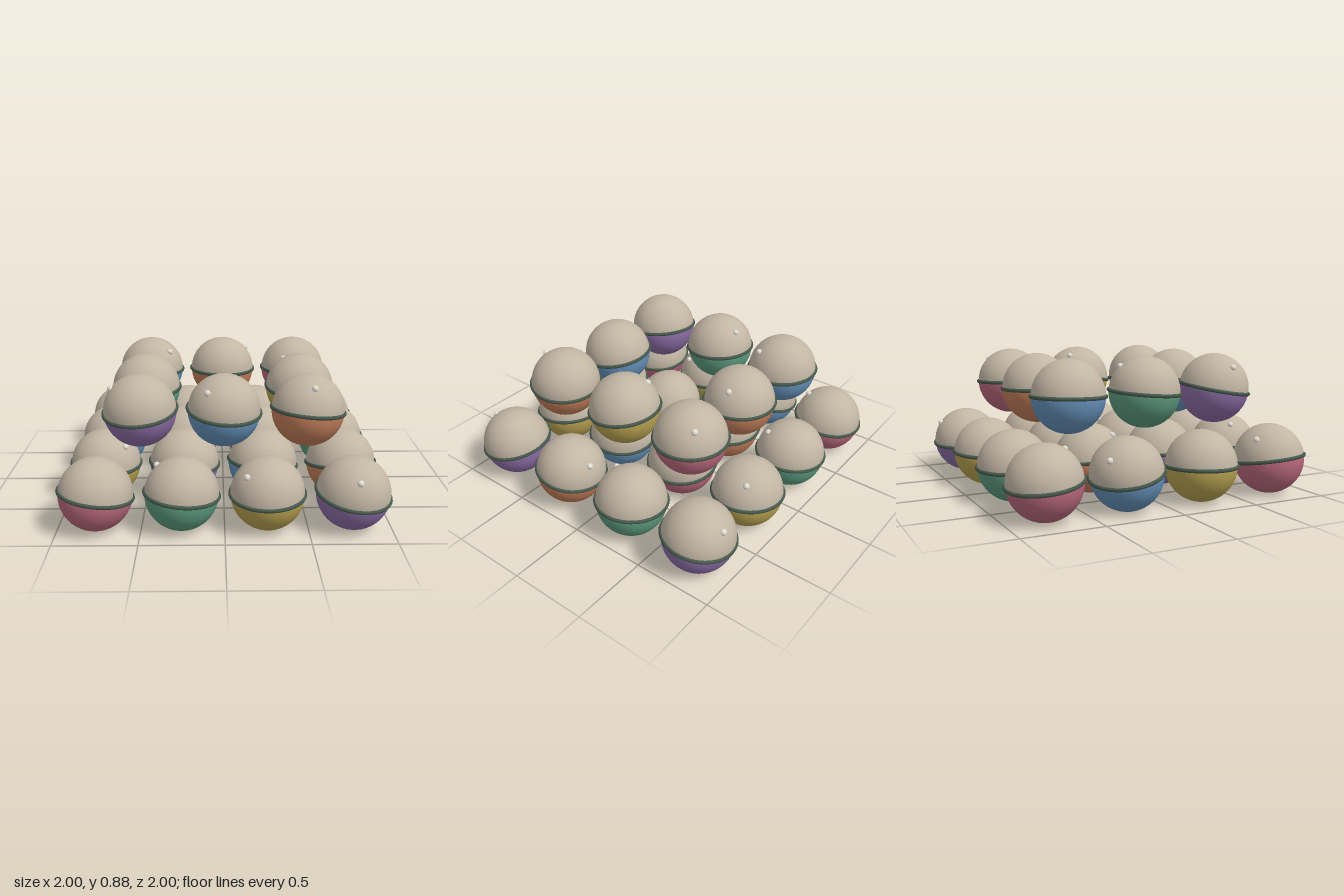
import * as THREE from 'three';

const R = 0.222;        // ball radius
const STUD_POLAR = 0.84; // angle between a ball's axis and its stud

const mat = (name, color) => {
  const m = new THREE.MeshStandardMaterial({ color });
  m.name = name;
  return m;
};

const M = {
  cap: mat('warm stone', 0xc2b6a4),
  band: mat('dark green', 0x46584c),
  stud: mat('pale ivory', 0xe2ded4),
  rose: mat('rose', 0xb8687c),
  green: mat('green', 0x5c9a7e),
  yellow: mat('ochre yellow', 0xb6a050),
  purple: mat('purple', 0x8a6ca4),
  blue: mat('blue', 0x6490b8),
  orange: mat('terracotta', 0xc07c58),
};

const capGeo = new THREE.SphereGeometry(R, 40, 14, 0, Math.PI * 2, 0, Math.PI / 2);
const bowlGeo = new THREE.SphereGeometry(R, 40, 14, 0, Math.PI * 2, Math.PI / 2, Math.PI / 2);
const bandGeo = new THREE.TorusGeometry(R, 0.012, 10, 56).rotateX(Math.PI / 2);
const studGeo = new THREE.SphereGeometry(0.02, 12, 8);

// Each entry: colour, stud offset x and z, then the lean of the axis in x and z.
// Without a lean, the axis tips along the stud's direction.
// Rows run from front to back, entries from -x to +x.
const lower = [
  [['rose', -0.075, -0.155, 0.15, -0.07], ['green', -0.145, -0.04, 0.09, -0.03],
    ['yellow', -0.127, 0.112, -0.01, 0.08], ['purple', 0.005, 0.18, 0.12, 0.14]],
  [['yellow', 0.14, 0.1], ['purple', 0.175, 0.007],
    ['blue', 0.14, -0.12], ['orange', 0.02, -0.19, -0.03, -0.157]],
  [['blue', -0.107, -0.162], ['orange', -0.12, 0.1],
    ['rose', -0.137, 0.04], ['green', -0.06, 0.165, -0.06, 0]],
  [['rose', 0.045, 0.139], ['green', 0.1, 0.12],
    ['yellow', 0.14, -0.075], ['purple', 0.015, -0.18, -0.08, -0.11]],
];
const upper = [
  [['purple', -0.17, 0.025, -0.07, 0.16], ['blue', -0.1, 0.137, 0.08, 0.12],
    ['orange', 0.02, 0.142, 0.09, -0.08]],
  [['green', 0.034, -0.15], null, ['yellow', -0.104, -0.102, 0.05, 0.12]],
  [['blue', 0.136, 0.104], ['orange', 0.166, -0.025], ['rose', 0.12, -0.116, 0.03, 0]],
];

// One two-tone ball: stone cap, coloured bowl, dark band and a small stud
function makeBall([colour, sx, sz, nx, nz]) {
  const ball = new THREE.Group();
  ball.name = `${colour}Ball`;
  const reach = Math.hypot(sx, sz);
  if (nx === undefined) {
    const tip = Math.tan(Math.asin(reach / R) - STUD_POLAR);
    nx = (sx / reach) * tip;
    nz = (sz / reach) * tip;
  }
  const axis = new THREE.Vector3(nx, 1, nz).normalize();
  const tilt = new THREE.Quaternion().setFromUnitVectors(new THREE.Vector3(0, 1, 0), axis);

  const add = (name, geo, material) => {
    const mesh = new THREE.Mesh(geo, material);
    mesh.name = name;
    ball.add(mesh);
    return mesh;
  };
  add('cap', capGeo, M.cap).quaternion.copy(tilt);
  add('bowl', bowlGeo, M[colour]).quaternion.copy(tilt);
  add('band', bandGeo, M.band).quaternion.copy(tilt);
  add('stud', studGeo, M.stud).position.set(sx, Math.sqrt(R * R - reach * reach), sz);
  return ball;
}

// A square layer of balls centred on the origin
function makeLayer(name, rows, y) {
  const spacing = 0.51;
  const layer = new THREE.Group();
  layer.name = name;
  const mid = (rows.length - 1) / 2;
  rows.forEach((row, k) => row.forEach((entry, i) => {
    if (!entry) return;
    const ball = makeBall(entry);
    ball.position.set((i - mid) * spacing, y, (mid - k) * spacing);
    layer.add(ball);
  }));
  return layer;
}

export function createModel() {
  const model = new THREE.Group();
  model.name = 'ballStack';
  model.add(makeLayer('lowerLayer', lower, 0.227));
  model.add(makeLayer('upperLayer', upper, 0.664));
  return model;
}
